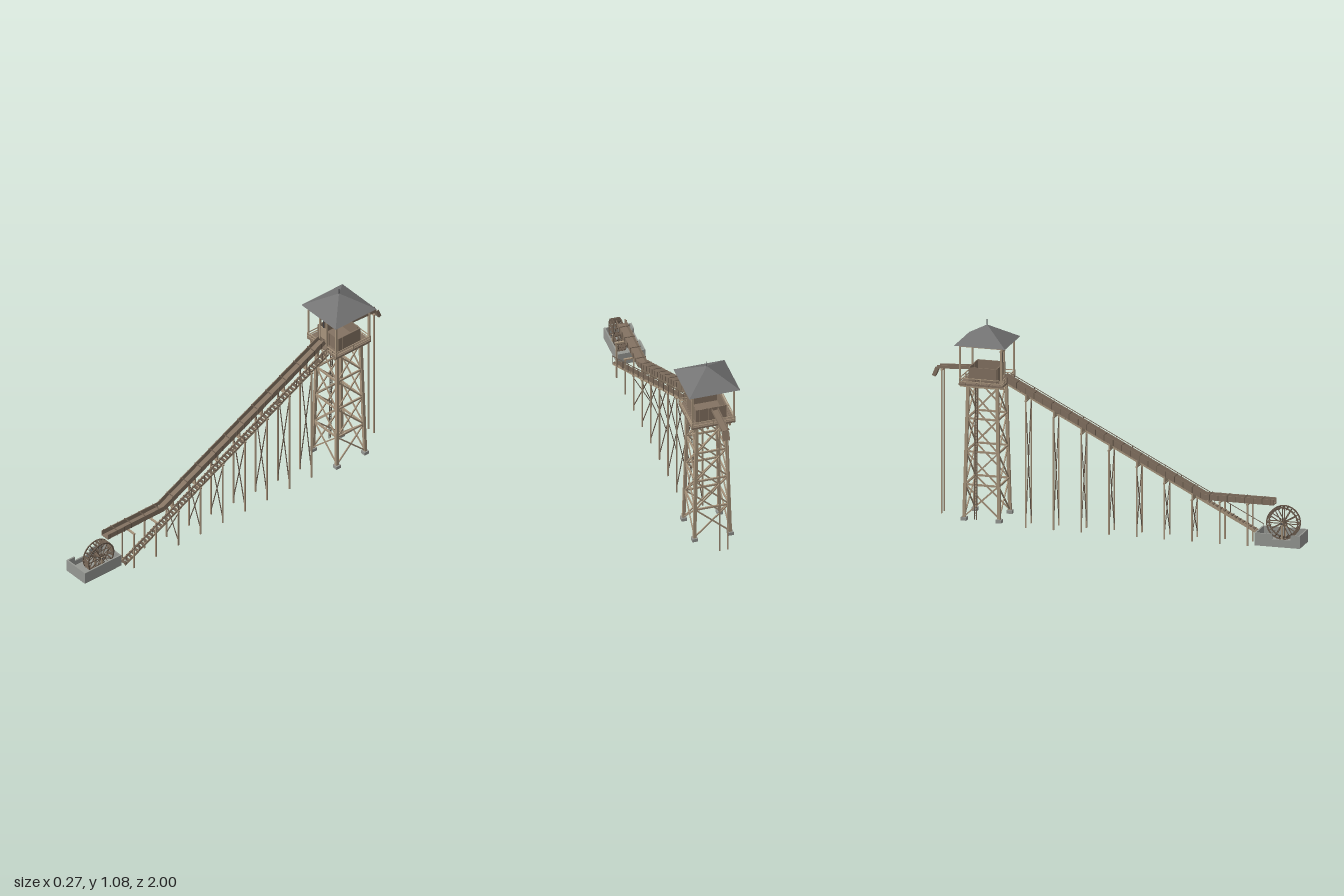
import * as THREE from 'three';

const mat = color => new THREE.MeshStandardMaterial({ color, flatShading: true });
const WOOD = mat(0xa8957d), DARK = mat(0x6c5d4f), PLANK = mat(0x847362);
const IRON = mat(0x4c4c4e), ROOF = mat(0x747474), STONE = mat(0x969893);
const V = (x, y, z) => new THREE.Vector3(x, y, z);

export function createModel() {
  const model = new THREE.Group();
  model.name = 'waterFlumeTower';

  const group = name => {
    const g = new THREE.Group();
    g.name = name;
    model.add(g);
    return g;
  };
  const add = (parent, name, geo, material, x = 0, y = 0, z = 0) => {
    const m = new THREE.Mesh(geo, material);
    m.name = name;
    m.position.set(x, y, z);
    parent.add(m);
    return m;
  };
  // Box given by its extents
  const box = (parent, name, material, x0, x1, y0, y1, z0, z1) =>
    add(parent, name, new THREE.BoxGeometry(x1 - x0, y1 - y0, z1 - z0), material,
      (x0 + x1) / 2, (y0 + y1) / 2, (z0 + z1) / 2);
  // Timber from a to b; steep ones keep their faces square to the axes
  const beam = (parent, name, material, a, b, w, h = w) => {
    const m = add(parent, name, new THREE.BoxGeometry(w, h, a.distanceTo(b)), material);
    const steep = Math.abs(b.y - a.y) > 0.95 * a.distanceTo(b);
    m.position.copy(a).add(b).multiplyScalar(0.5);
    m.quaternion.setFromRotationMatrix(new THREE.Matrix4().lookAt(b, a, steep ? V(0, 0, 1) : V(0, 1, 0)));
    return m;
  };

  const TZ = -0.714, FX = -0.019, SLOPE = 0.51;
  const flumeY = z => (z > 0.46 ? 0.228 : 0.228 + (0.46 - z) * SLOPE); // flume floor
  const stairY = z => 0.05 + (0.755 - z) * SLOPE;

  // Tower: battered legs, girts and cross braces on all sides
  const tower = group('tower');
  const leg = (sx, sz, y) => {
    const t = (y - 0.04) / 0.7;
    return V(sx * (0.096 - 0.018 * t), y, TZ + sz * (0.094 - 0.016 * t));
  };
  const corners = [[1, 1], [1, -1], [-1, -1], [-1, 1]];
  const levels = [0.05, 0.22, 0.395, 0.57, 0.738];
  corners.forEach(([sx, sz], i) => {
    const [nx, nz] = corners[(i + 1) % 4];
    beam(tower, 'towerLeg', WOOD, leg(sx, sz, 0.04), leg(sx, sz, 0.745), 0.016);
    const f = leg(sx, sz, 0.04);
    box(tower, 'footing', STONE, f.x - 0.015, f.x + 0.015, 0.03, 0.048, f.z - 0.015, f.z + 0.015);
    for (let k = 0; k < 4; k++) {
      beam(tower, 'girt', WOOD, leg(sx, sz, levels[k + 1]), leg(nx, nz, levels[k + 1]), 0.008, 0.01);
      beam(tower, 'brace', WOOD, leg(sx, sz, levels[k]), leg(nx, nz, levels[k + 1]), 0.006, 0.007);
      beam(tower, 'brace', WOOD, leg(nx, nz, levels[k]), leg(sx, sz, levels[k + 1]), 0.006, 0.007);
    }
  });

  // Narrow ladder on the tower's right side
  const ladder = group('ladder');
  const ladderX = y => -0.109 + (y - 0.04) * 0.027;
  for (const s of [-1, 1])
    beam(ladder, 'ladderRail', DARK, V(ladderX(0.04), 0.04, -0.743 + s * 0.006), V(ladderX(0.78), 0.78, -0.743 + s * 0.006), 0.004);
  for (let y = 0.06; y < 0.77; y += 0.015)
    beam(ladder, 'rung', DARK, V(ladderX(y), y, -0.749), V(ladderX(y), y, -0.737), 0.003);

  // Platform: joists, deck boards and railing
  const platform = group('platform');
  for (const x of [-0.088, -0.03, 0.03, 0.1])
    box(platform, 'joist', WOOD, x - 0.005, x + 0.005, 0.738, 0.752, TZ - 0.117, TZ + 0.117);
  for (let i = 0; i < 13; i++) {
    const z = TZ - 0.117 + i * 0.018;
    box(platform, 'deckBoard', PLANK, -0.117, 0.117, 0.752, 0.762, z, z + 0.017);
  }
  const rail = ([ax, az], [bx, bz]) => {
    const a = V(ax, 0, TZ + az), b = V(bx, 0, TZ + bz);
    for (const y of [0.772, 0.789])
      beam(platform, 'railing', WOOD, a.clone().setY(y), b.clone().setY(y), 0.004);
    for (const t of [0, 0.5, 1]) {
      const p = a.clone().lerp(b, t);
      beam(platform, 'railPost', WOOD, p.clone().setY(0.755), p.clone().setY(0.791), 0.005);
    }
  };
  const R = 0.114;
  rail([-R, -R], [-R, R]);
  rail([R, -R], [R, R]);
  rail([-R, -R], [R, -R]);
  rail([-R, R], [-0.05, R]);
  rail([0.05, R], [R, R]);

  // Roof on four posts
  const roof = group('roof');
  corners.forEach(([sx, sz], i) => {
    const [nx, nz] = corners[(i + 1) % 4];
    beam(roof, 'roofPost', WOOD, V(sx * 0.111, 0.75, TZ + sz * 0.111), V(sx * 0.111, 0.965, TZ + sz * 0.111), 0.008);
    beam(roof, 'roofPlate', WOOD, V(sx * 0.111, 0.96, TZ + sz * 0.111), V(nx * 0.111, 0.96, TZ + nz * 0.111), 0.008);
  });
  add(roof, 'hippedRoof', new THREE.ConeGeometry(0.137 * Math.SQRT2, 0.088, 4, 1, false, Math.PI / 4), ROOF, 0, 1.009, TZ);
  add(roof, 'finial', new THREE.CylinderGeometry(0.002, 0.002, 0.035, 6), IRON, 0, 1.064, TZ);

  // Plank header tank, open at the top
  const tank = group('headerTank');
  box(tank, 'tankFloor', PLANK, -0.079, 0.079, 0.762, 0.77, -0.79, -0.64);
  for (let i = 0; i < 10; i++) {
    const o = -0.0815 + i * 0.0163, d = (i % 3) * 0.001, z = -0.79 + i * 0.015;
    box(tank, 'frontStave', PLANK, o, o + 0.0161, 0.762, 0.84, -0.645, -0.64 + d);
    box(tank, 'backStave', PLANK, o, o + 0.0161, 0.762, 0.84, -0.79 - d, -0.785);
    for (const s of [-1, 1])
      box(tank, 'sideStave', PLANK, s * 0.0795 - 0.003, s * 0.0795 + 0.003, 0.762, 0.84, z, z + 0.0147);
  }

  // Sluice gate with screw and handwheel
  const gate = group('sluiceGate');
  for (const x of [-0.046, 0.008])
    box(gate, 'gatePost', WOOD, x - 0.004, x + 0.004, 0.76, 0.93, -0.631, -0.621);
  box(gate, 'gateLintel', WOOD, -0.05, 0.012, 0.92, 0.932, -0.632, -0.62);
  box(gate, 'gatePanel', WOOD, -0.042, 0.004, 0.795, 0.862, -0.629, -0.624);
  add(gate, 'gateScrew', new THREE.CylinderGeometry(0.002, 0.002, 0.085, 6), IRON, FX, 0.9, -0.626);
  add(gate, 'handwheel', new THREE.TorusGeometry(0.016, 0.002, 6, 16), IRON, FX, 0.941, -0.626).rotation.x = Math.PI / 2;
  for (const [dx, dz] of [[0.015, 0], [0, 0.015]])
    beam(gate, 'handwheelSpoke', IRON, V(FX - dx, 0.941, -0.626 - dz), V(FX + dx, 0.941, -0.626 + dz), 0.002);

  // Flume trough: floor, two sides, ribs and ties
  const flume = group('flume');
  const ends = [V(0, 0.228, 0.835), V(0, 0.228, 0.46), V(0, flumeY(-0.615), -0.615)];
  for (let i = 0; i < 2; i++) {
    const at = (p, x, y) => V(x, p.y + y, p.z), [a, b] = [ends[i], ends[i + 1]];
    beam(flume, 'flumeFloor', PLANK, at(a, FX, 0), at(b, FX, 0), 0.05, 0.005);
    for (const s of [-1, 1]) {
      const x = FX + s * 0.0235;
      beam(flume, 'flumeSide', PLANK, at(a, x, 0.013), at(b, x, 0.013), 0.004, 0.03);
    }
  }
  for (let i = 0; i < 31; i++) {
    const z = 0.82 - i * 0.047, y = flumeY(z);
    for (const s of [-1, 1])
      box(flume, 'rib', DARK, FX + s * 0.0265 - 0.0015, FX + s * 0.0265 + 0.0015, y - 0.002, y + 0.029, z - 0.002, z + 0.002);
    if (i % 2) box(flume, 'tie', DARK, FX - 0.028, FX + 0.028, y + 0.027, y + 0.03, z - 0.002, z + 0.002);
  }

  // Trestle bents under the flume and stair
  const trestle = group('trestle');
  for (let i = 0; i < 9; i++) {
    const z = 0.695 - i * 0.1484, top = i < 2 ? 0.224 : flumeY(z) - 0.034, L = -0.046, Rx = 0.047;
    for (const x of [L, Rx]) beam(trestle, 'bentPost', WOOD, V(x, 0, z), V(x, top, z), 0.007);
    box(trestle, 'bentCap', WOOD, -0.053, 0.054, top - 0.008, top, z - 0.005, z + 0.005);
    if (i > 1) {
      box(trestle, 'flumeSaddle', WOOD, -0.045, 0.007, top, top + 0.03, z - 0.004, z + 0.004);
      beam(trestle, 'bentBrace', DARK, V(L, 0.03, z), V(Rx, top - 0.02, z), 0.004);
      beam(trestle, 'bentBrace', DARK, V(Rx, 0.03, z), V(L, top - 0.02, z), 0.004);
    }
  }

  // Service stair beside the flume
  const stair = group('stair');
  for (const x of [0.013, 0.046])
    beam(stair, 'stringer', WOOD, V(x, stairY(0.755) - 0.004, 0.755), V(x, stairY(-0.605) - 0.004, -0.605), 0.004, 0.014);
  for (let z = 0.748; z > -0.6; z -= 0.02)
    box(stair, 'tread', DARK, 0.011, 0.048, stairY(z) - 0.001, stairY(z) + 0.003, z - 0.008, z + 0.008);
  beam(stair, 'handrail', DARK, V(0.05, stairY(0.755) + 0.046, 0.755), V(0.05, stairY(-0.605) + 0.046, -0.605), 0.003);
  for (let z = 0.75; z > -0.61; z -= 0.0875)
    beam(stair, 'handrailPost', DARK, V(0.05, stairY(z) - 0.005, z), V(0.05, stairY(z) + 0.047, z), 0.003);

  // Overflow spout behind the tower, bent down at its end
  const spout = group('overflowSpout');
  const path = [V(FX, 0.82, -0.785), V(FX, 0.81, -0.965), V(FX, 0.764, -0.984)];
  for (let i = 0; i < 2; i++) {
    const n = i ? V(0, 0.003, -0.007) : V(0, 0.007, 0);
    beam(spout, 'spoutFloor', PLANK, path[i], path[i + 1], 0.036, 0.004);
    for (const s of [-1, 1]) {
      const o = n.clone().setX(s * 0.0165);
      const side = [path[i].clone().add(o), path[i + 1].clone().add(o)];
      beam(spout, 'spoutSide', PLANK, ...side, 0.003, 0.017);
    }
  }
  for (const x of [-0.041, 0.003]) beam(spout, 'spoutPost', WOOD, V(x, 0.04, -0.945), V(x, 0.805, -0.945), 0.007);
  box(spout, 'spoutCap', WOOD, -0.047, 0.009, 0.8, 0.808, -0.95, -0.94);

  // Stone basin with an outlet notch
  const basin = group('basin');
  box(basin, 'basinFloor', STONE, -0.127, 0.021, 0.03, 0.043, 0.757, 1);
  box(basin, 'basinLeftWall', STONE, 0.013, 0.021, 0.043, 0.097, 0.757, 1);
  for (const z of [0.757, 0.992]) box(basin, 'basinEndWall', STONE, -0.127, 0.013, 0.043, 0.097, z, z + 0.008);
  box(basin, 'basinRightWall', STONE, -0.127, -0.119, 0.043, 0.097, 0.765, 0.85);
  box(basin, 'outletSill', STONE, -0.127, -0.119, 0.043, 0.07, 0.85, 0.95);
  box(basin, 'basinRightWall', STONE, -0.127, -0.119, 0.043, 0.097, 0.95, 0.992);

  // Water wheel: two rims, spokes, buckets and axle
  const wheel = group('waterWheel');
  wheel.position.set(-0.016, 0.132, 0.879);
  const polar = (x, r, a) => V(x, Math.sin(a) * r, Math.cos(a) * r);
  const ring = new THREE.Shape().absarc(0, 0, 0.087, 0, Math.PI * 2);
  ring.holes.push(new THREE.Path().absarc(0, 0, 0.08, 0, Math.PI * 2, true));
  const rimGeo = new THREE.ExtrudeGeometry(ring, { depth: 0.004, bevelEnabled: false, curveSegments: 24 });
  for (const s of [-1, 1]) {
    add(wheel, 'rim', rimGeo, DARK, s * 0.021 - 0.002).rotation.y = Math.PI / 2;
    for (let i = 0; i < 12; i++)
      beam(wheel, 'spoke', DARK, V(s * 0.021, 0, 0), polar(s * 0.021, 0.082, i * Math.PI / 6), 0.004);
    box(wheel, 'bearingPost', WOOD, s * 0.0285 - 0.003, s * 0.0285 + 0.003, -0.089, 0.006, -0.005, 0.005);
  }
  // Buckets as flat boards set radially, wide along the axle
  for (let i = 0; i < 24; i++) {
    const a = i * Math.PI / 12;
    const bucket = add(wheel, 'bucket', new THREE.BoxGeometry(0.042, 0.002, 0.016), DARK);
    bucket.position.copy(polar(0, 0.08, a));
    bucket.rotation.x = -a;
  }
  for (const [name, r, l, m] of [['axle', 0.005, 0.07, IRON], ['hub', 0.011, 0.048, DARK]])
    add(wheel, name, new THREE.CylinderGeometry(r, r, l, 12), m).rotation.z = Math.PI / 2;

  return model;
}
